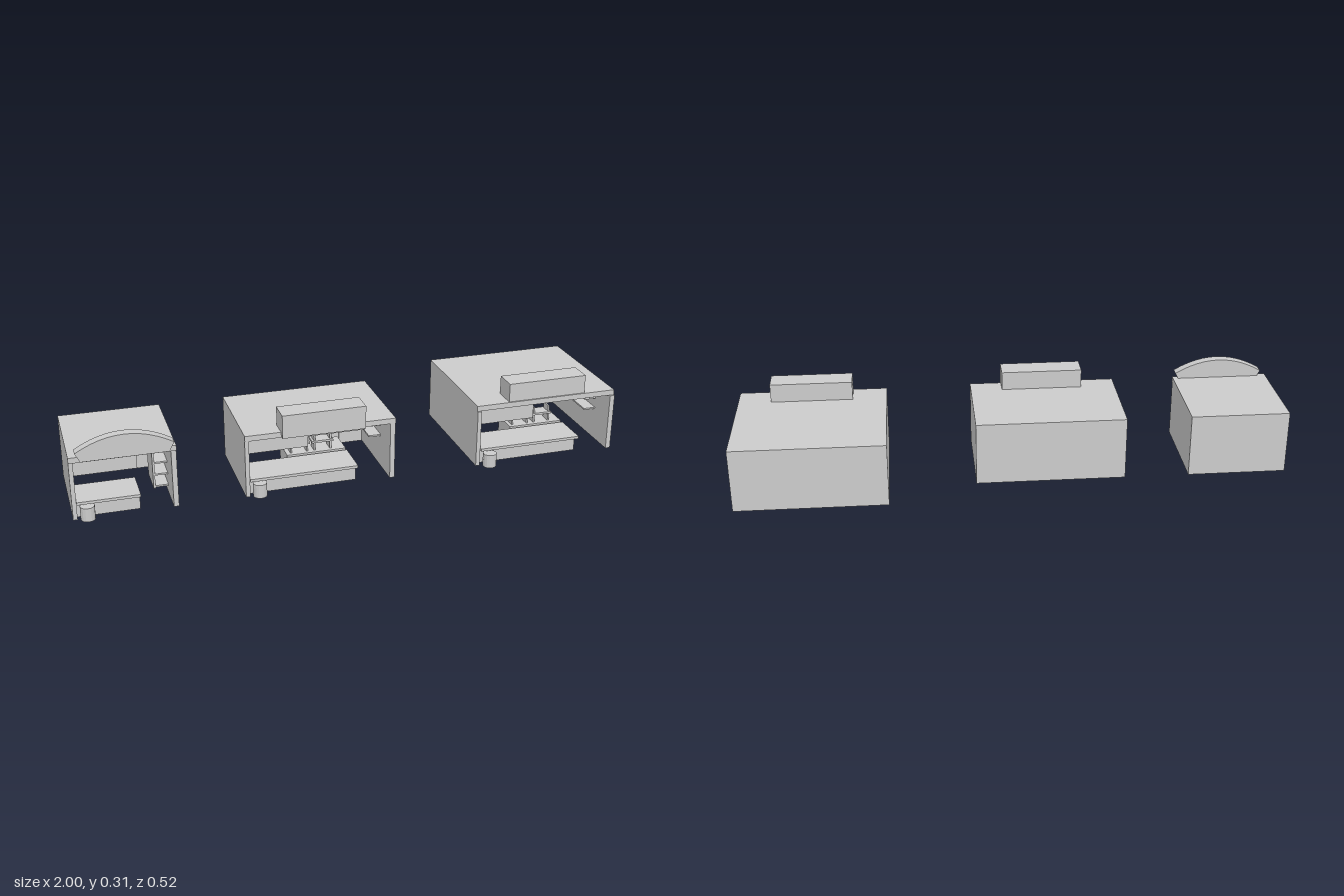
import * as THREE from 'three';

const mat = new THREE.MeshStandardMaterial({ color: 0xcccccc, flatShading: true });

function add(parent, name, geo) {
  const mesh = new THREE.Mesh(geo, mat);
  mesh.name = name;
  parent.add(mesh);
  return mesh;
}

// Box given by its limits on each axis
function box(parent, name, [x0, x1], [y0, y1], [z0, z1]) {
  const mesh = add(parent, name, new THREE.BoxGeometry(x1 - x0, y1 - y0, z1 - z0));
  mesh.position.set((x0 + x1) / 2, (y0 + y1) / 2, (z0 + z1) / 2);
  return mesh;
}

// Small open rack: a shelf between two posts
function rack(parent, x, y, z) {
  const g = new THREE.Group();
  g.name = 'rack';
  parent.add(g);
  box(g, 'rackShelf', [x, x + 0.08], [y + 0.03, y + 0.038], [z - 0.025, z + 0.025]);
  for (const px of [x + 0.008, x + 0.068]) {
    box(g, 'rackPost', [px, px + 0.006], [y, y + 0.06], [z - 0.02, z + 0.02]);
  }
}

function stall(root, o) {
  const g = new THREE.Group();
  g.name = o.name;
  root.add(g);
  const { x0, x1, back, front } = o;
  const inL = x0 + 0.015, inR = x1 - 0.018;

  // Open-bottomed shell
  box(g, 'sideWallRight', [x0, inL], [0, 0.214], [back + 0.02, o.wallFront]);
  box(g, 'sideWallLeft', [inR, x1], [0, 0.214], [back + 0.02, o.wallFront]);
  box(g, 'backWall', [x0, x1], [0, 0.214], [back, back + 0.02]);
  box(g, 'roof', [x0, x1], [0.214, 0.234], [back, front]);

  // Serving counter with an overhanging top, and a bin in front
  box(g, 'counter', [inL, o.counterEnd], [0, 0.06], [0.11, 0.205]);
  box(g, 'counterTop', [inL, o.counterEnd], [0.06, 0.07], [0.1, 0.237]);
  const bin = add(g, 'bin', new THREE.CylinderGeometry(0.025, 0.025, 0.05, 16));
  bin.position.set(x0 + 0.05, 0.025, o.binZ);

  // Hanging cabinet
  box(g, 'hangingCabinet', [inL, o.cabinetEnd], [0.147, 0.214], [0.1, 0.19]);

  // Shelves fixed to the side wall
  for (const y of o.shelves) {
    box(g, 'wallShelf', [inR - 0.045, inR], [y, y + 0.006], [0.0, 0.12]);
  }

  // Rear worktop with racks, and a door in the back wall
  if (o.worktop) {
    const [a, b] = o.worktop;
    box(g, 'rearWorktop', [a, b], [0, 0.07], [-0.02, 0.085]);
    rack(g, o.rackX, 0.07, 0.05);
    rack(g, o.rackX + 0.088, 0.07, 0.05);
    box(g, 'backDoor', [inR - 0.09, inR], [0, 0.184], [back + 0.02, back + 0.025]);
  }
  return g;
}

export function createModel() {
  const root = new THREE.Group();
  root.name = 'marketStalls';

  // Small stall with an arched sign
  const small = stall(root, {
    name: 'smallStall', x0: -1, x1: -0.64, back: -0.13, front: 0.232, wallFront: 0.225,
    counterEnd: -0.77, cabinetEnd: -0.77, binZ: 0.227, shelves: [0.03, 0.075, 0.12, 0.165],
  });
  box(small, 'shelfUpright', [-0.71, -0.703], [0.025, 0.175], [0, 0.12]);
  const arch = new THREE.Shape();
  arch.moveTo(-0.148, 0.222);
  arch.lineTo(0.148, 0.222);
  arch.lineTo(0.165, 0.255);
  for (let i = 1; i <= 12; i++) {
    const x = 0.165 * (1 - i / 6);
    arch.lineTo(x, 0.255 + 0.05 * (1 - (x / 0.165) ** 2));
  }
  const sign = add(small, 'archedSign',
    new THREE.ExtrudeGeometry(arch, { depth: 0.035, bevelEnabled: false }));
  sign.position.set(-0.813, 0, 0.213);

  // Middle stall with a sign over its front edge
  const middle = stall(root, {
    name: 'middleStall', x0: -0.405, x1: 0.14, back: -0.13, front: 0.232, wallFront: 0.228,
    counterEnd: 0, cabinetEnd: -0.17, binZ: 0.227, shelves: [0.118, 0.16],
    worktop: [-0.22, 0], rackX: -0.212,
  });
  box(middle, 'shallowCabinet', [-0.17, 0.04], [0.185, 0.214], [0.1, 0.19]);
  box(middle, 'sign', [-0.277, 0.023], [0.218, 0.303], [0.234, 0.253]);
  box(middle, 'signBody', [-0.277, 0.023], [0.234, 0.303], [0.168, 0.234]);

  // Deep stall with a sign standing on its roof
  const deep = stall(root, {
    name: 'deepStall', x0: 0.455, x1: 1, back: -0.26, front: 0.22, wallFront: 0.227,
    counterEnd: 0.86, cabinetEnd: 0.69, binZ: 0.236, shelves: [0.118, 0.16],
    worktop: [0.65, 0.86], rackX: 0.655,
  });
  box(deep, 'sign', [0.58, 0.88], [0.234, 0.303], [0.13, 0.215]);

  return root;
}
